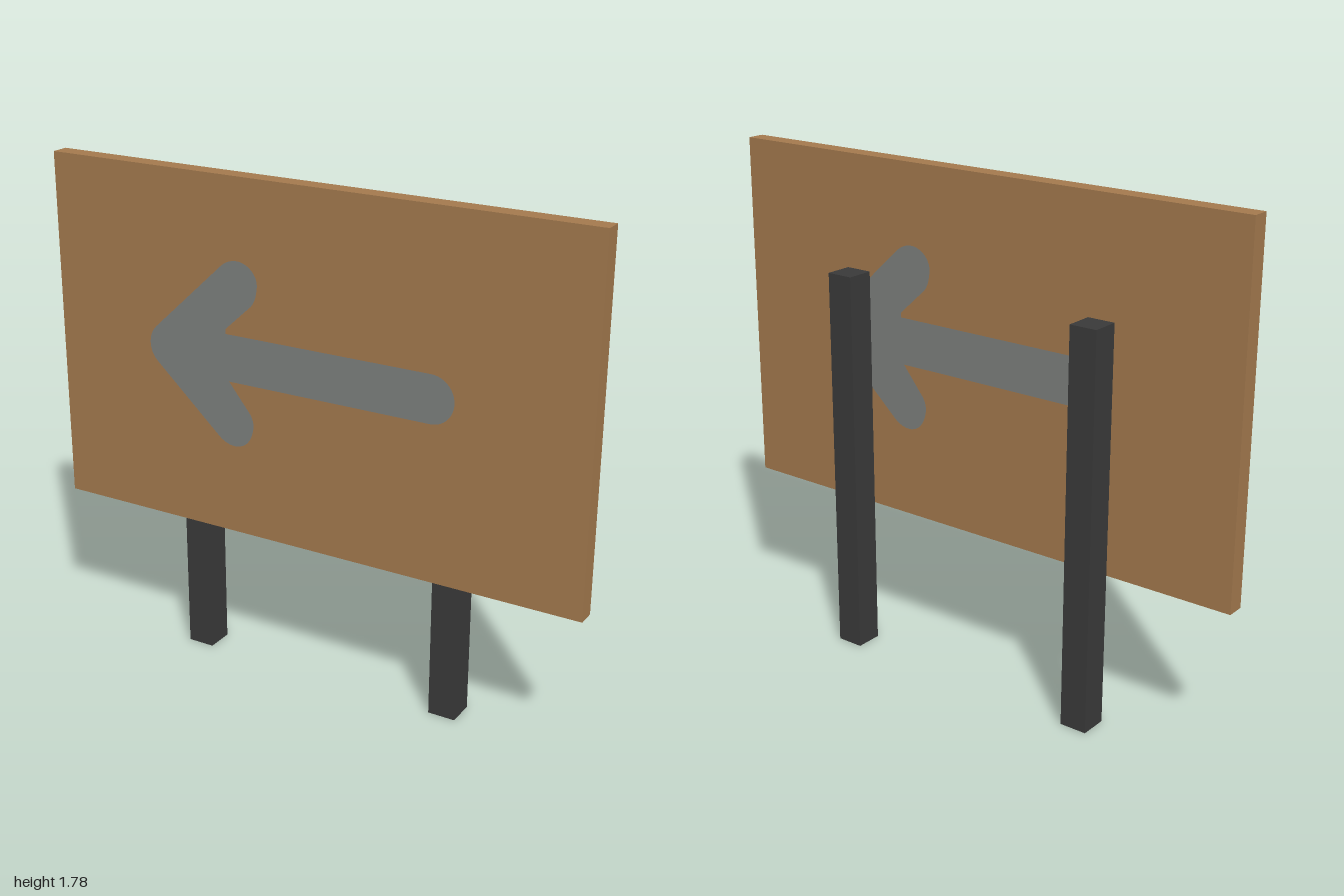
import * as THREE from 'three';

export function createModel() {
  const model = new THREE.Group();
  const wood = new THREE.MeshStandardMaterial({ name: 'brown board', color: 0xa47a4e });
  const dark = new THREE.MeshStandardMaterial({ name: 'dark post', color: 0x3a3a3a });
  const grey = new THREE.MeshStandardMaterial({ name: 'grey paint', color: 0x7d807e });

  function add(name, geometry, material, x, y, z) {
    const mesh = new THREE.Mesh(geometry, material);
    mesh.name = name;
    mesh.position.set(x, y, z);
    model.add(mesh);
    return mesh;
  }

  // Sign board
  const boardZ = 0.0525, boardDepth = 0.063;
  add('board', new THREE.BoxGeometry(2, 1.25, boardDepth), wood, 0, 1.16, boardZ);

  // Two square posts behind the board
  const postGeometry = new THREE.BoxGeometry(0.098, 1.39, 0.099);
  add('rightPost', postGeometry, dark, -0.499, 0.695, -0.0345);
  add('leftPost', postGeometry, dark, 0.493, 0.695, -0.0345);

  // Arrow outline with rounded ends
  const arrow = new THREE.Shape();
  arrow.moveTo(-0.595, 1.23);
  arrow.lineTo(-0.32, 1.485);
  arrow.bezierCurveTo(-0.25, 1.54, -0.17, 1.48, -0.185, 1.42);
  arrow.quadraticCurveTo(-0.19, 1.375, -0.215, 1.355);
  arrow.lineTo(-0.31, 1.268);
  arrow.lineTo(-0.31, 1.251);
  arrow.lineTo(0.455, 1.251);
  arrow.absarc(0.455, 1.168, 0.083, Math.PI / 2, -Math.PI / 2, true);
  arrow.lineTo(-0.3, 1.085);
  arrow.lineTo(-0.227, 0.995);
  arrow.quadraticCurveTo(-0.195, 0.96, -0.21, 0.915);
  arrow.bezierCurveTo(-0.23, 0.845, -0.3, 0.84, -0.345, 0.88);
  arrow.lineTo(-0.595, 1.107);
  arrow.bezierCurveTo(-0.63, 1.14, -0.63, 1.197, -0.595, 1.23);

  // Painted arrow on both faces, the back one turned half round
  const arrowGeometry = new THREE.ShapeGeometry(arrow, 16);
  const offset = boardDepth / 2 + 0.002;
  add('frontArrow', arrowGeometry, grey, 0, 0, boardZ + offset);
  add('backArrow', arrowGeometry, grey, 0, 0, boardZ - offset).rotation.y = Math.PI;

  return model;
}
